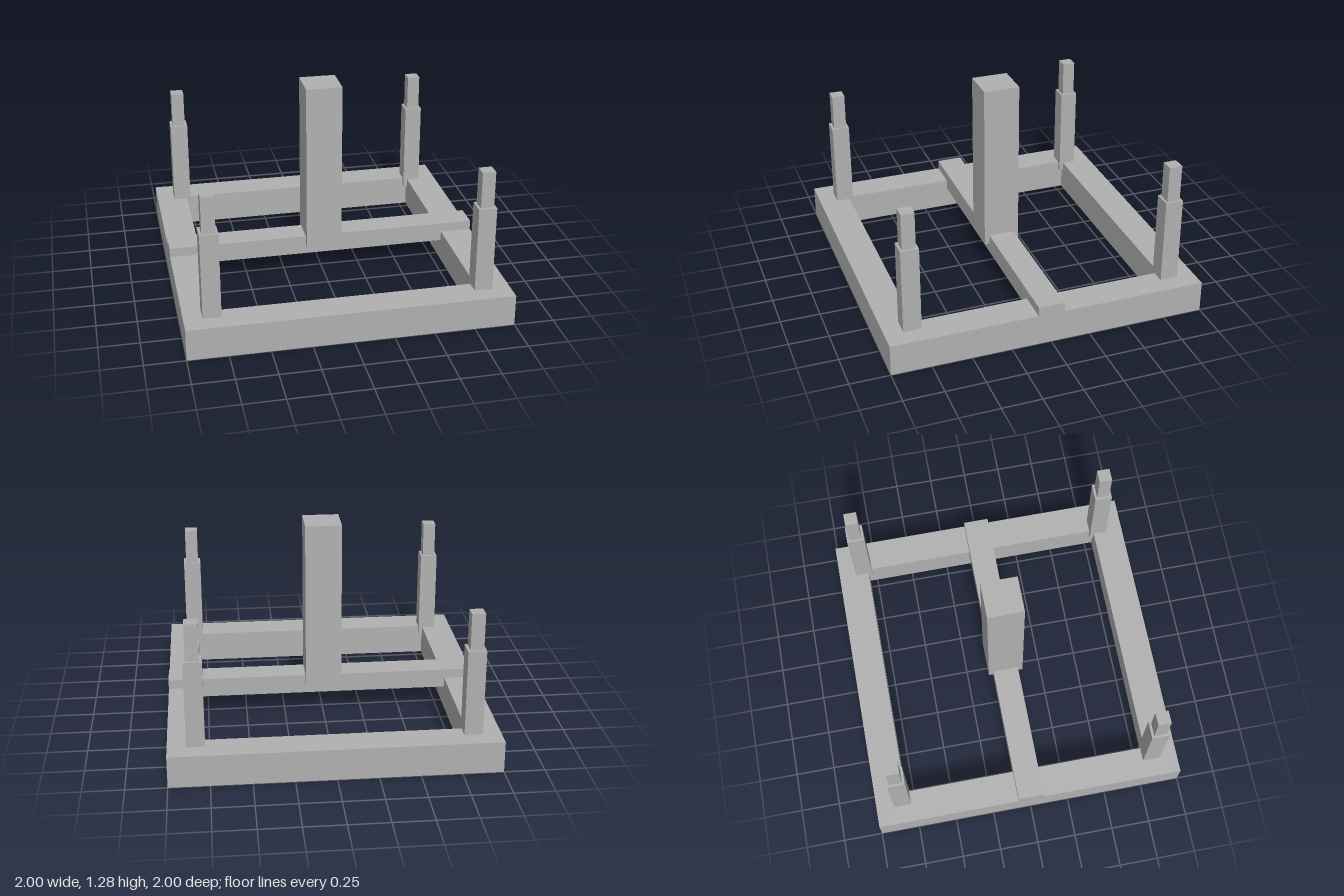
import * as THREE from 'three';

const grey = new THREE.MeshStandardMaterial({ color: 0xb0b0b0 });
grey.name = 'plain grey';

// Box standing between two heights, centred on (x, z)
function block(name, width, depth, bottom, top, x = 0, z = 0) {
  const mesh = new THREE.Mesh(new THREE.BoxGeometry(width, top - bottom, depth), grey);
  mesh.name = name;
  mesh.position.set(x, (bottom + top) / 2, z);
  return mesh;
}

// Square ring lying flat on the ground
function baseFrame(outer, inner, height) {
  const square = (Type, h) => new Type([
    new THREE.Vector2(-h, -h), new THREE.Vector2(h, -h),
    new THREE.Vector2(h, h), new THREE.Vector2(-h, h),
  ]);
  const shape = square(THREE.Shape, outer);
  shape.holes.push(square(THREE.Path, inner));
  const geometry = new THREE.ExtrudeGeometry(shape, { depth: height, bevelEnabled: false });
  geometry.rotateX(-Math.PI / 2);
  const mesh = new THREE.Mesh(geometry, grey);
  mesh.name = 'baseFrame';
  return mesh;
}

export function createModel() {
  const model = new THREE.Group();
  model.name = 'frameWithPosts';

  model.add(baseFrame(1, 0.8, 0.2));

  // Beam let into the frame, carrying the central column
  model.add(block('crossBeam', 2, 0.166, 0.137, 0.26));
  model.add(block('centralColumn', 0.23, 0.23, 0.2, 1.285));

  // Stepped corner posts, overhanging the inner corners of the frame
  for (const x of [-0.83, 0.83]) {
    for (const z of [-0.83, 0.83]) {
      const post = new THREE.Group();
      post.name = 'cornerPost';
      post.position.set(x, 0, z);
      post.add(block('lowerPost', 0.112, 0.112, 0.145, 0.745));
      post.add(block('upperPost', 0.082, 0.082, 0.745, 0.975));
      model.add(post);
    }
  }
  return model;
}
